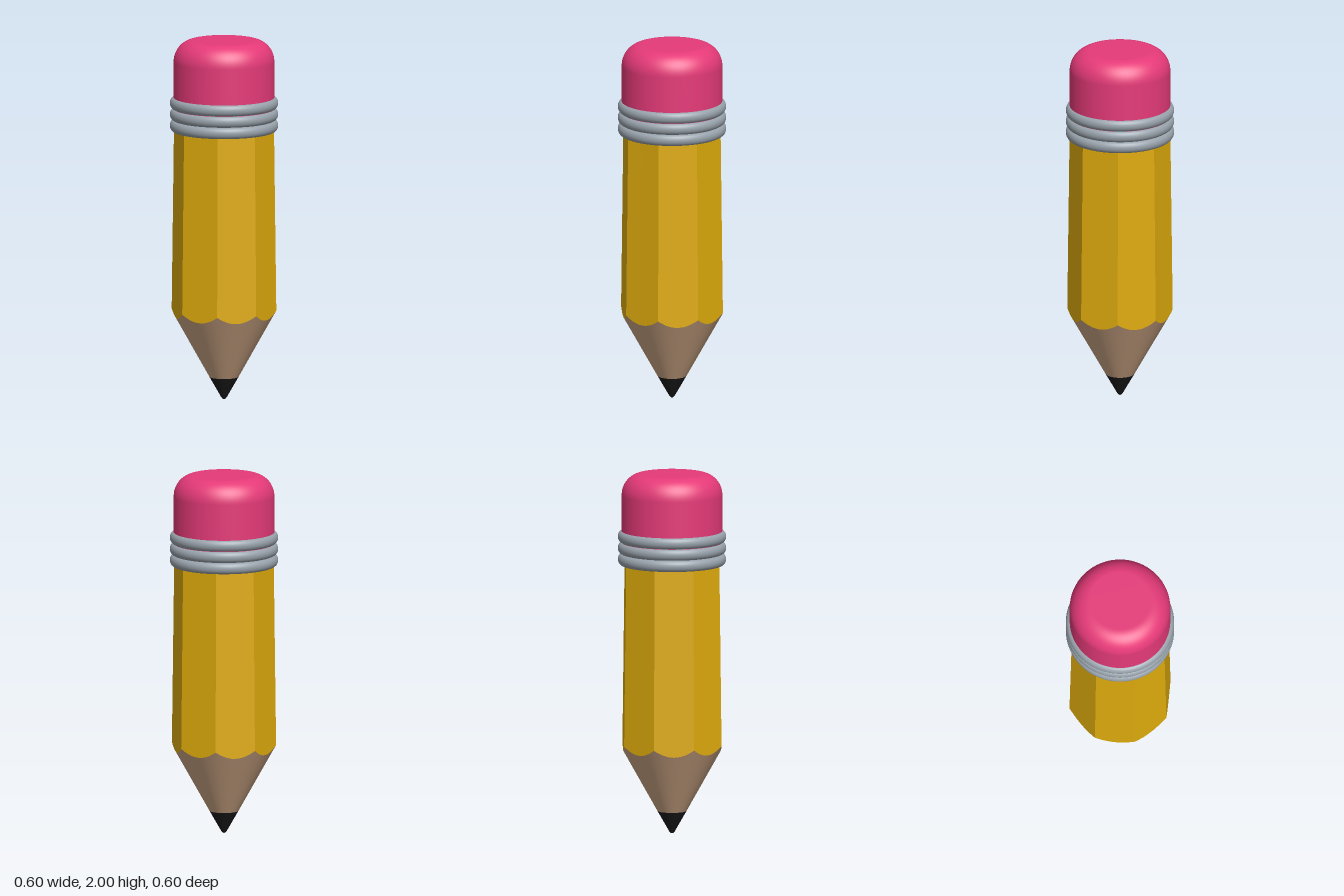
import * as THREE from 'three';

const SIDES = 8, STEPS = 10;
const R_BOTTOM = 0.29, R_TOP = 0.277, BODY_TOP = 1.53;
const LEAD_R = 0.08, LEAD_Y = 0.125, SLOPE = 0.56;

const material = (name, color) => {
  const m = new THREE.MeshStandardMaterial({ color });
  m.name = name;
  return m;
};

// Surface strip between two rings of points; wraps round when closed
function strip(lower, upper, closed) {
  const n = lower.length, index = [];
  for (let i = 0; i < (closed ? n : n - 1); i++) {
    const j = (i + 1) % n;
    index.push(i, j, n + j, i, n + j, n + i);
  }
  const g = new THREE.BufferGeometry();
  g.setFromPoints([...lower, ...upper]);
  g.setIndex(index);
  g.computeVertexNormals();
  return g;
}

// Point on one flat side of the octagon of corner radius r, t from 0 to 1
function sidePoint(side, t, r, y) {
  const corner = (k) => {
    const a = (k * Math.PI * 2) / SIDES;
    return new THREE.Vector3(Math.sin(a) * r, y, Math.cos(a) * r);
  };
  return corner(side).lerp(corner(side + 1), t);
}

// Where the sharpened cone cuts the octagon: gives the scalloped edge
function cutPoint(side, t) {
  const p = sidePoint(side, t, R_BOTTOM, 0);
  p.y = LEAD_Y + (Math.hypot(p.x, p.z) - LEAD_R) / SLOPE;
  return p;
}

// Arc points for rounded lathe profiles
function arc(cx, cy, rx, ry, from, to, steps) {
  const pts = [];
  for (let i = 0; i <= steps; i++) {
    const a = from + ((to - from) * i) / steps;
    pts.push(new THREE.Vector2(cx + Math.cos(a) * rx, cy + Math.sin(a) * ry));
  }
  return pts;
}

export function createModel() {
  const group = new THREE.Group();
  group.name = 'pencil';
  const yellow = material('yellow paint', 0xdfab0c);
  const pink = material('pink rubber', 0xe53a78);
  const metal = material('grey metal', 0x98a2ab);
  const wood = material('bare wood', 0xcda685);
  const black = material('black lead', 0x1b1b1b);

  const add = (name, geometry, mat, parent = group) => {
    const mesh = new THREE.Mesh(geometry, mat);
    mesh.name = name;
    parent.add(mesh);
    return mesh;
  };

  // Painted body: eight flat sides ending in scallops
  const body = new THREE.Group();
  body.name = 'body';
  group.add(body);
  const cut = [];
  for (let s = 0; s < SIDES; s++) {
    const lower = [], upper = [];
    for (let i = 0; i <= STEPS; i++) {
      lower.push(cutPoint(s, i / STEPS));
      upper.push(sidePoint(s, i / STEPS, R_TOP, BODY_TOP));
      if (i < STEPS) cut.push(cutPoint(s, i / STEPS));
    }
    add('bodySide', strip(lower, upper, false), yellow, body);
  }

  // Sharpened wood cone
  const leadRing = cut.map((p) => {
    const k = LEAD_R / Math.hypot(p.x, p.z);
    return new THREE.Vector3(p.x * k, LEAD_Y, p.z * k);
  });
  add('sharpenedWood', strip(leadRing, cut, true), wood);

  // Lead tip
  const tip = [[0, 0], [0.007, 0.002], [0.015, 0.011], [LEAD_R, LEAD_Y]];
  add('leadTip', new THREE.LatheGeometry(tip.map((p) => new THREE.Vector2(...p)), 64), black);

  // Metal ferrule: three rounded bands
  const ferrule = new THREE.Group();
  ferrule.name = 'ferrule';
  group.add(ferrule);
  for (const y of [1.525, 1.588, 1.651]) {
    const profile = [
      new THREE.Vector2(0.24, y - 0.031),
      ...arc(0.274, y, 0.024, 0.031, -Math.PI / 2, Math.PI / 2, 12),
      new THREE.Vector2(0.24, y + 0.031),
    ];
    add('ferruleBand', new THREE.LatheGeometry(profile, 64), metal, ferrule);
  }

  // Eraser with a rounded rim
  const eraser = [
    new THREE.Vector2(0.277, 1.6),
    ...arc(0.167, 1.88, 0.11, 0.12, 0, Math.PI / 2, 14),
    new THREE.Vector2(0, 2),
  ];
  add('eraser', new THREE.LatheGeometry(eraser, 64), pink);

  return group;
}
